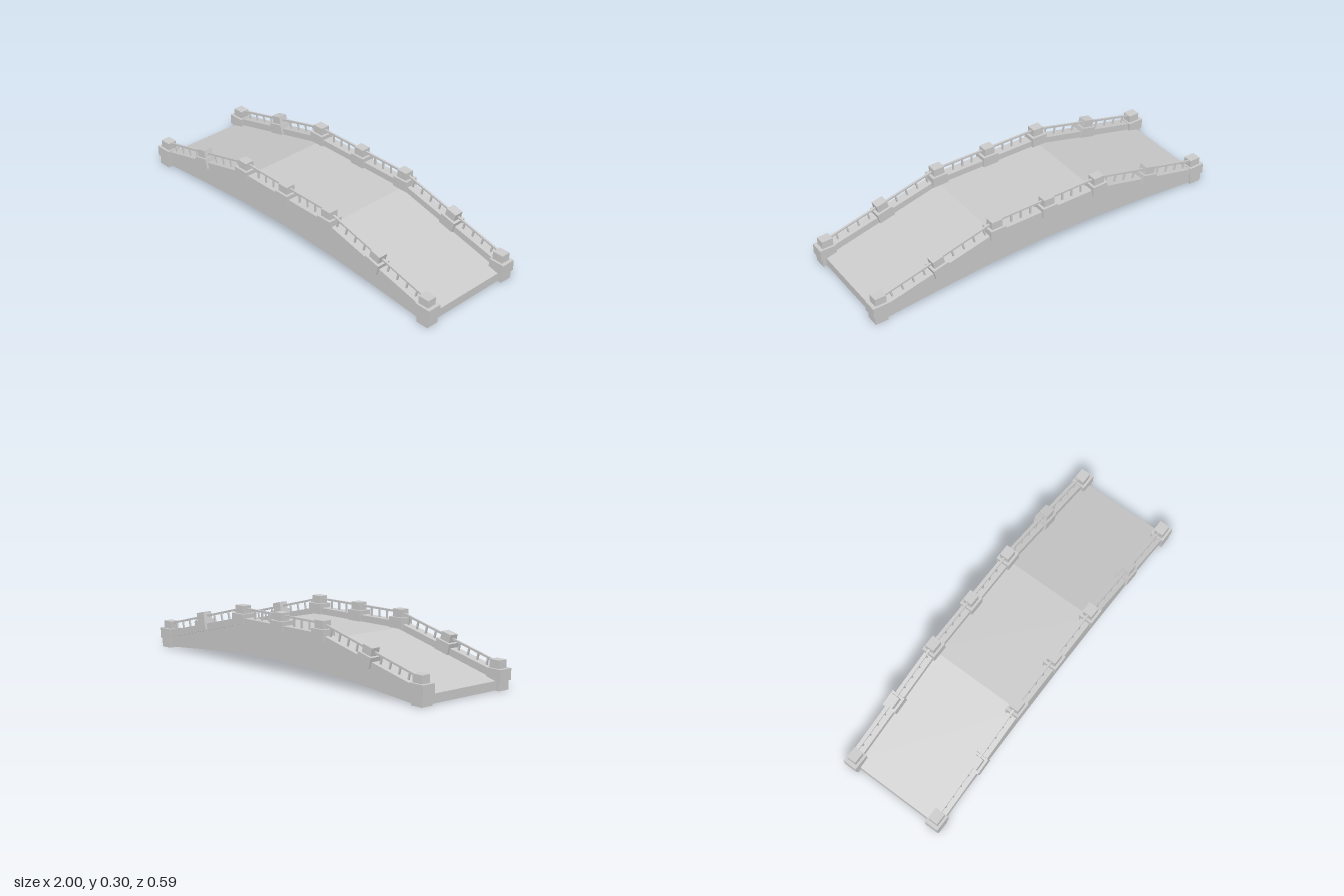
import * as THREE from 'three';

const material = new THREE.MeshStandardMaterial({ color: 0xcccccc, flatShading: true });

function add(parent, name, geometry, x = 0, y = 0, z = 0, tilt = 0) {
  const mesh = new THREE.Mesh(geometry, material);
  mesh.name = name;
  mesh.position.set(x, y, z);
  mesh.rotation.z = tilt;
  parent.add(mesh);
  return mesh;
}

// Side outline in x/y, mirrored about x = 0 and extruded across the bridge.
// Both edges are listed from the middle outwards.
function archGeometry(top, bottom, width) {
  const mirror = (p) => [-p[0], p[1]];
  const outline = [
    ...top.slice().reverse().map(mirror), ...top,
    ...bottom.slice().reverse(), ...bottom.map(mirror),
  ];
  const shape = new THREE.Shape(outline.map((p) => new THREE.Vector2(p[0], p[1])));
  const geometry = new THREE.ExtrudeGeometry(shape, { depth: width, bevelEnabled: false });
  return geometry.translate(0, 0, -width / 2);
}

// Square bar between two points in the x/y plane.
function addBar(parent, name, a, b, thickness) {
  const dx = b[0] - a[0], dy = b[1] - a[1];
  add(parent, name, new THREE.BoxGeometry(Math.hypot(dx, dy), thickness, thickness),
    (a[0] + b[0]) / 2, (a[1] + b[1]) / 2, 0, Math.atan2(dy, dx));
}

// Post with a wide base and a smaller cap; origin at the centre of the base.
function addPost(parent, x, y, tilt = 0) {
  const post = new THREE.Group();
  post.name = 'post';
  post.position.set(x, y, 0);
  post.rotation.z = tilt;
  add(post, 'postBase', new THREE.BoxGeometry(0.088, 0.055, 0.075));
  add(post, 'postCap', new THREE.BoxGeometry(0.06, 0.04, 0.05), 0, 0.0475);
  parent.add(post);
}

function createParapet(endOffset) {
  const parapet = new THREE.Group();
  const slope = Math.atan2(0.163, 0.665);

  // Kerb following the deck
  add(parapet, 'kerb', archGeometry(
    [[0.305, 0.243], [0.95, 0.09]],
    [[0.305, 0.207], [0.95, 0.05]], 0.052));

  // Level posts and handrail on the crown
  for (const x of [-0.305, 0, 0.305]) addPost(parapet, x, 0.237);
  addBar(parapet, 'handrail', [-0.305, 0.288], [0.305, 0.288], 0.01);

  for (const side of [-1, 1]) {
    // Tilted post halfway down the slope
    addPost(parapet, side * 0.625, 0.162, -side * slope);

    // Heavy end post
    const end = new THREE.Group();
    end.name = 'endPost';
    end.position.set(side * 0.956, 0, endOffset);
    add(end, 'endPostFoot', new THREE.BoxGeometry(0.068, 0.05, 0.066), 0, 0.025);
    add(end, 'endPostBase', new THREE.BoxGeometry(0.088, 0.056, 0.075), 0, 0.075);
    add(end, 'endPostCap', new THREE.BoxGeometry(0.06, 0.04, 0.05), -side * 0.005, 0.123);
    parapet.add(end);

    // Sloping handrail
    addBar(parapet, 'handrail', [side * 0.305, 0.288], [side * 0.95, 0.128], 0.01);

    // Upright balusters on the crown
    for (let i = 1; i <= 3; i++) {
      const x = side * (0.04 + 0.056 * i);
      addBar(parapet, 'baluster', [x, 0.235], [x, 0.288], 0.008);
    }

    // Balusters square to the slope, four in each sloping bay
    for (const start of [0.37, 0.71]) {
      for (let i = 0; i < 4; i++) {
        const x = start + 0.06 * i;
        const y = 0.288 - (x - 0.305) * 0.248;
        addBar(parapet, 'baluster', [side * (x - 0.0125), y - 0.05], [side * x, y], 0.008);
      }
    }
  }
  return parapet;
}

export function createModel() {
  const model = new THREE.Group();
  model.name = 'archedBridge';

  // Deck with faceted arched underside
  add(model, 'deck', archGeometry(
    [[0.305, 0.21], [0.97, 0.047]],
    [[0, 0.065], [0.31, 0.056], [0.63, 0.033], [0.97, 0.002]], 0.546));

  // Parapets along both sides
  const front = createParapet(0);
  front.name = 'frontParapet';
  front.position.z = 0.2595;
  const back = createParapet(0.009);
  back.name = 'backParapet';
  back.position.z = -0.2575;
  model.add(front, back);

  return model;
}
